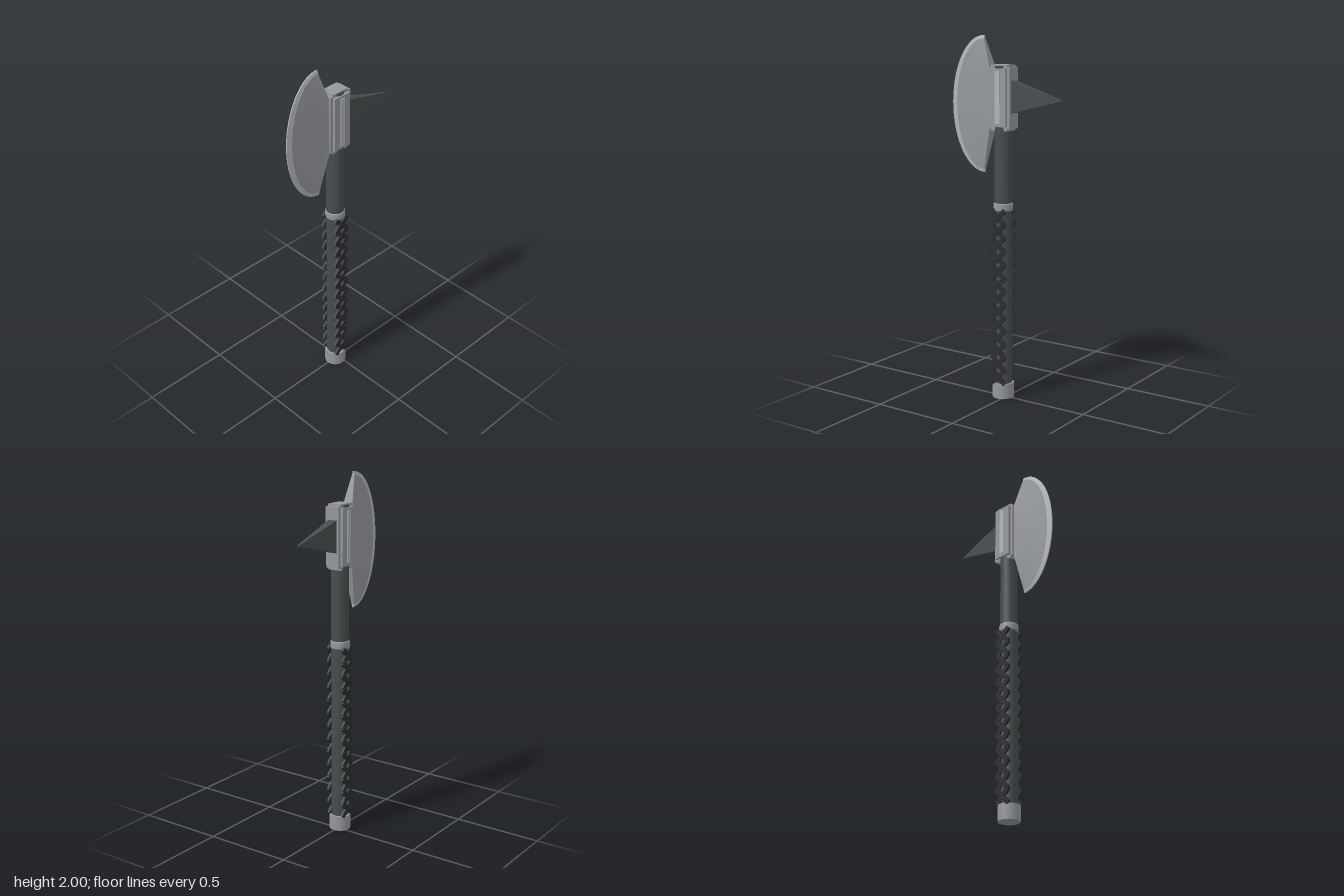
import * as THREE from 'three';

const AXIS = -0.02; // x of the handle's centre line

function material(name, color, side = THREE.FrontSide) {
  const m = new THREE.MeshStandardMaterial({ color, side });
  m.name = name;
  return m;
}

// Flat-faced geometry from a list of triangles (each three Vector3)
function facets(tris) {
  const g = new THREE.BufferGeometry().setFromPoints(tris.flat());
  g.computeVertexNormals();
  return g;
}

export function createModel() {
  const steel = material('steel', 0x94979c, THREE.DoubleSide);
  const edgeSteel = material('edge steel', 0xb2b5b7, THREE.DoubleSide);
  const dark = material('dark metal', 0x464d4e, THREE.DoubleSide);
  const strapDark = material('strap black', 0x2c2d31);

  const model = new THREE.Group();
  model.name = 'axe';
  const add = (name, geo, mat, x = AXIS, y = 0, z = 0, parent = model) => {
    const mesh = new THREE.Mesh(geo, mat);
    mesh.name = name;
    mesh.position.set(x, y, z);
    parent.add(mesh);
    return mesh;
  };
  const rod = (name, r, y0, y1, mat) =>
    add(name, new THREE.CylinderGeometry(r, r, y1 - y0, 32), mat, AXIS, (y0 + y1) / 2);
  const block = (name, w, y0, y1, d, mat, z = 0) =>
    add(name, new THREE.BoxGeometry(w, y1 - y0, d), mat, AXIS, (y0 + y1) / 2, z);

  // Handle
  rod('shaft', 0.048, 0.05, 1.84, dark);
  rod('pommel', 0.06, 0, 0.085, steel);
  const collar = [[0.04, 1.06], [0.05, 1.06], [0.053, 1.066], [0.053, 1.096], [0.05, 1.103], [0.04, 1.103]];
  add('collar', new THREE.LatheGeometry(collar.map(p => new THREE.Vector2(...p)), 32), steel);

  // Crossed grip straps on front and back
  const straps = new THREE.Group();
  straps.name = 'gripStraps';
  model.add(straps);
  const strapGeo = new THREE.BoxGeometry(0.115, 0.026, 0.014);
  for (let i = 0; i < 13; i++) {
    for (const side of [1, -1]) {
      for (const tilt of [1, -1]) {
        const s = add('strap', strapGeo, strapDark, AXIS, 0.125 + i * 0.075, side * (0.047 + tilt * 0.001), straps);
        s.rotation.z = tilt * Math.PI / 4;
      }
    }
  }

  // Head block: three stepped boxes, with a bright strip on each face
  block('headBlock', 0.138, 1.508, 1.835, 0.08, steel);
  block('headCheeks', 0.106, 1.518, 1.828, 0.11, steel);
  block('headCore', 0.104, 1.496, 1.846, 0.078, steel);
  for (const side of [1, -1]) block('headStrip', 0.03, 1.535, 1.815, 0.006, edgeSteel, side * 0.0555);

  // Blade: thick at the block, thinning to a curved bevelled edge
  const N = 40, CX = -0.14, CY = 1.63;
  const arc = (rx, ry, z) => Array.from({ length: N + 1 }, (_, i) => {
    const a = Math.PI * i / N;
    return new THREE.Vector3(CX - rx * Math.sin(a), CY + ry * Math.cos(a), z);
  });
  const body = [], rim = [];
  const strip = (out, a, b, flip) => {
    for (let i = 0; i < N; i++) {
      const quad = [[a[i], b[i], b[i + 1]], [a[i], b[i + 1], a[i + 1]]];
      out.push(...quad.map(t => (flip ? [t[0], t[2], t[1]] : t)));
    }
  };
  const ends = [];
  for (const s of [1, -1]) {
    const root = Array.from({ length: N + 1 }, (_, i) =>
      new THREE.Vector3(-0.088, 1.825 - 0.32 * i / N, s * 0.03));
    const inner = arc(0.182, 0.352, s * 0.008);
    const outer = arc(0.213, 0.37, s * 0.003);
    strip(body, root, inner, s < 0);
    strip(rim, inner, outer, s < 0);
    ends.push({ root, inner, outer });
  }
  const [f, b] = ends;
  strip(rim, f.outer, b.outer, false);
  // Close the upper and lower slopes
  for (const [i, flip] of [[0, false], [N, true]]) {
    const close = (out, p, q) => {
      for (const t of [[f[p][i], f[q][i], b[q][i]], [f[p][i], b[q][i], b[p][i]]])
        out.push(flip ? t : [t[0], t[2], t[1]]);
    };
    close(body, 'root', 'inner');
    close(rim, 'inner', 'outer');
  }
  add('blade', facets(body), steel, 0);
  add('bladeEdge', facets(rim), edgeSteel, 0);

  // Rear spike: a box narrowed to a chisel point
  const spike = new THREE.BoxGeometry(0.305, 0.175, 0.052);
  const p = spike.attributes.position;
  for (let i = 0; i < p.count; i++) {
    if (p.getX(i) > 0) p.setXYZ(i, p.getX(i), p.getY(i) * 0.02 - 0.007, p.getZ(i) * 0.2);
  }
  const flatSpike = spike.toNonIndexed();
  flatSpike.computeVertexNormals();
  add('spike', flatSpike, dark, 0.1975, 1.678);

  return model;
}
